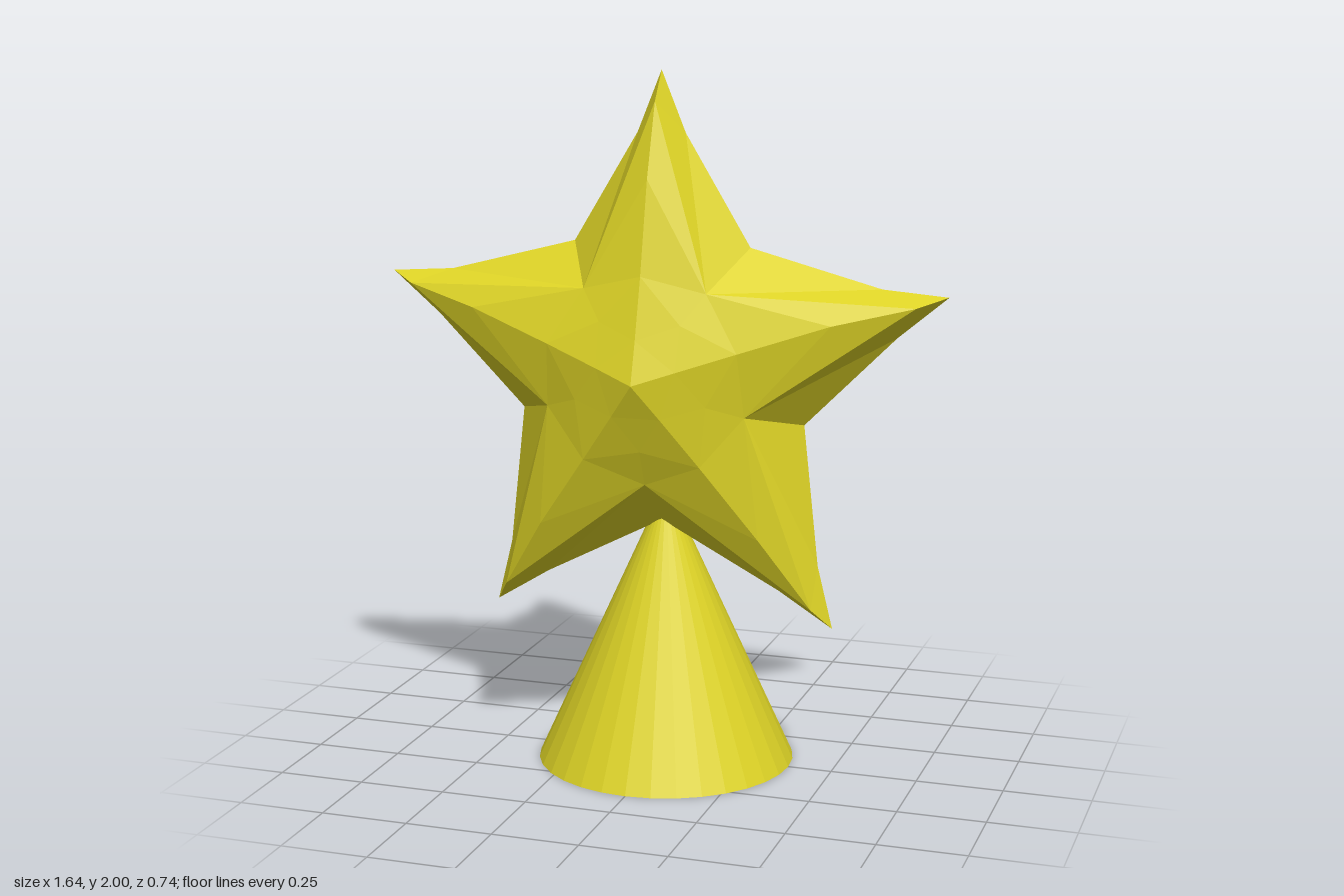
import * as THREE from 'three';

const CENTRE_Y = 1.16, CENTRE_Z = 0.04, STEP = Math.PI * 2 / 5;

// Faceted five-armed star, built from one arm pattern turned about its centre
function starGeometry() {
  const positions = [];
  const face = (...points) => {
    let [a, b, c] = points;
    const normal = b.clone().sub(a).cross(c.clone().sub(a));
    // The star is visible everywhere from its centre, so this makes faces point outward
    if (normal.dot(a) < 0) [b, c] = [c, b];
    for (const p of [a, b, c]) positions.push(p.x, p.y, p.z);
  };

  for (const front of [1, -1]) {
    for (let i = 0; i < 5; i++) {
      const turn = i * STEP;
      // along = distance out on the arm, across = sideways, drop = small downward shift
      const at = (along, across, z, drop = 0) => new THREE.Vector3(
        along * Math.sin(turn) + across * Math.cos(turn),
        along * Math.cos(turn) - across * Math.sin(turn) - drop,
        z * front);
      const polar = (r, angle, z) => at(r * Math.cos(angle), r * Math.sin(angle), z);

      const peak = new THREE.Vector3(0, 0, 0.275 * front);
      const ridge = [at(0.12, 0, 0.237), at(0.29, 0, 0.19), at(0.55, 0, 0.13), at(0.78, 0, 0.06, 0.022)];
      const tip = at(0.862, 0, 0, 0.022);

      // Central pentagon facet
      face(peak, ridge[0], polar(0.12, STEP, 0.237));

      for (const side of [1, -1]) {
        const half = side * STEP / 2;
        const innerValley = polar(0.2, half, 0.2);
        const valley = polar(0.303, half, 0.155);
        const notch = polar(0.44, half, 0);
        const rim = at(0.69, side * 0.07, 0, 0.022);
        // Domed front of the arm
        face(ridge[0], innerValley, ridge[1]);
        face(ridge[1], innerValley, valley);
        face(ridge[1], valley, ridge[2]);
        face(ridge[2], valley, ridge[3]);
        // Bevelled flank down to the outline
        face(ridge[3], tip, rim);
        face(ridge[3], rim, valley);
        face(valley, rim, notch);
      }
      // Facet between neighbouring arms
      face(ridge[0], polar(0.2, STEP / 2, 0.2), polar(0.12, STEP, 0.237));
    }
  }
  const geometry = new THREE.BufferGeometry();
  geometry.setAttribute('position', new THREE.Float32BufferAttribute(positions, 3));
  geometry.computeVertexNormals();
  return geometry;
}

export function createModel() {
  const group = new THREE.Group();
  const material = new THREE.MeshStandardMaterial({ color: 0xddd326, flatShading: true });

  const star = new THREE.Mesh(starGeometry(), material);
  star.name = 'star';
  star.position.set(0, CENTRE_Y, CENTRE_Z);
  group.add(star);

  // Cone stand, its point hidden inside the star
  const stand = new THREE.Mesh(new THREE.ConeGeometry(0.372, 0.82, 32), material);
  stand.name = 'coneStand';
  stand.position.y = 0.41;
  group.add(stand);

  return group;
}
